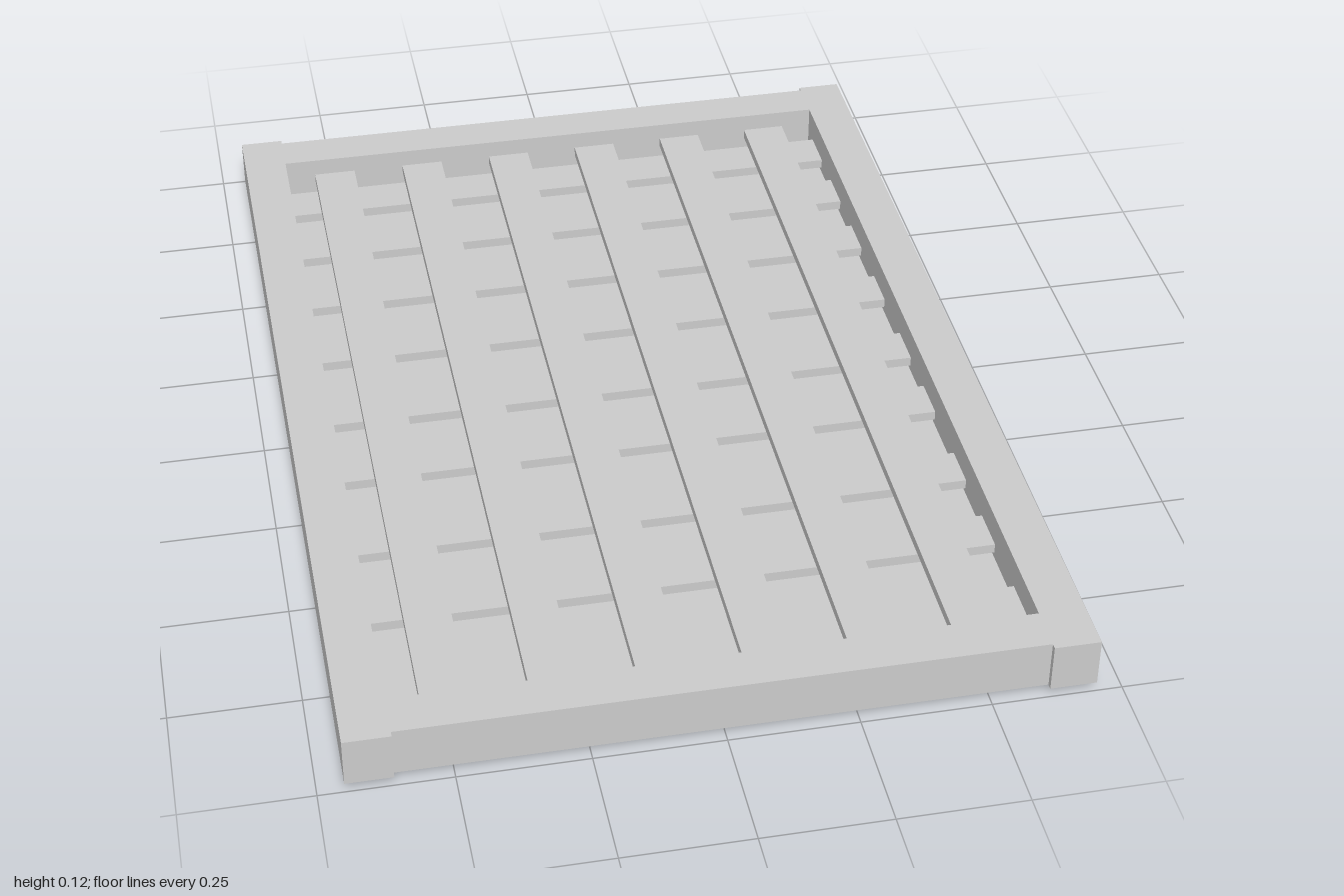
import * as THREE from 'three';

const material = new THREE.MeshStandardMaterial({ color: 0xcccccc, flatShading: true });

// Box given by its centre in x and z, its bottom height and its size
function board(parent, name, [w, h, d], [x, bottom, z]) {
  const mesh = new THREE.Mesh(new THREE.BoxGeometry(w, h, d), material);
  mesh.name = name;
  mesh.position.set(x, bottom + h / 2, z);
  parent.add(mesh);
}

export function createModel() {
  const model = new THREE.Group();
  model.name = 'slattedPallet';

  // The whole tray slopes gently, with the front end raised
  const tray = new THREE.Group();
  tray.name = 'tray';
  const tilt = 0.0095;
  tray.rotation.x = -tilt;
  tray.position.y = Math.sin(tilt) + 0.0005;
  model.add(tray);

  // Outer frame: long side rails with slightly recessed end rails between them
  for (const s of [-1, 1]) {
    board(tray, s > 0 ? 'leftRail' : 'rightRail', [0.09, 0.1, 1.998], [s * 0.655, 0, 0]);
    board(tray, s > 0 ? 'frontRail' : 'backRail', [1.22, 0.1, 0.087], [0, 0, s * 0.944]);
  }

  // Closed underside panel
  board(tray, 'bottomPanel', [1.34, 0.0125, 1.92], [0, -0.0005, 0]);

  // Lower layer: cross slats
  const crossZ = [-0.815, -0.64, -0.45, -0.25, -0.035, 0.155, 0.383, 0.585, 0.8];
  for (const z of crossZ) board(tray, 'crossSlat', [1.22, 0.02, 0.09], [0, 0.023, z]);

  // Upper layer: long slats
  for (let i = 0; i < 6; i++) {
    board(tray, 'longSlat', [0.09, 0.02, 1.8], [-0.5 + i * 0.2, 0.043, 0]);
  }

  return model;
}
